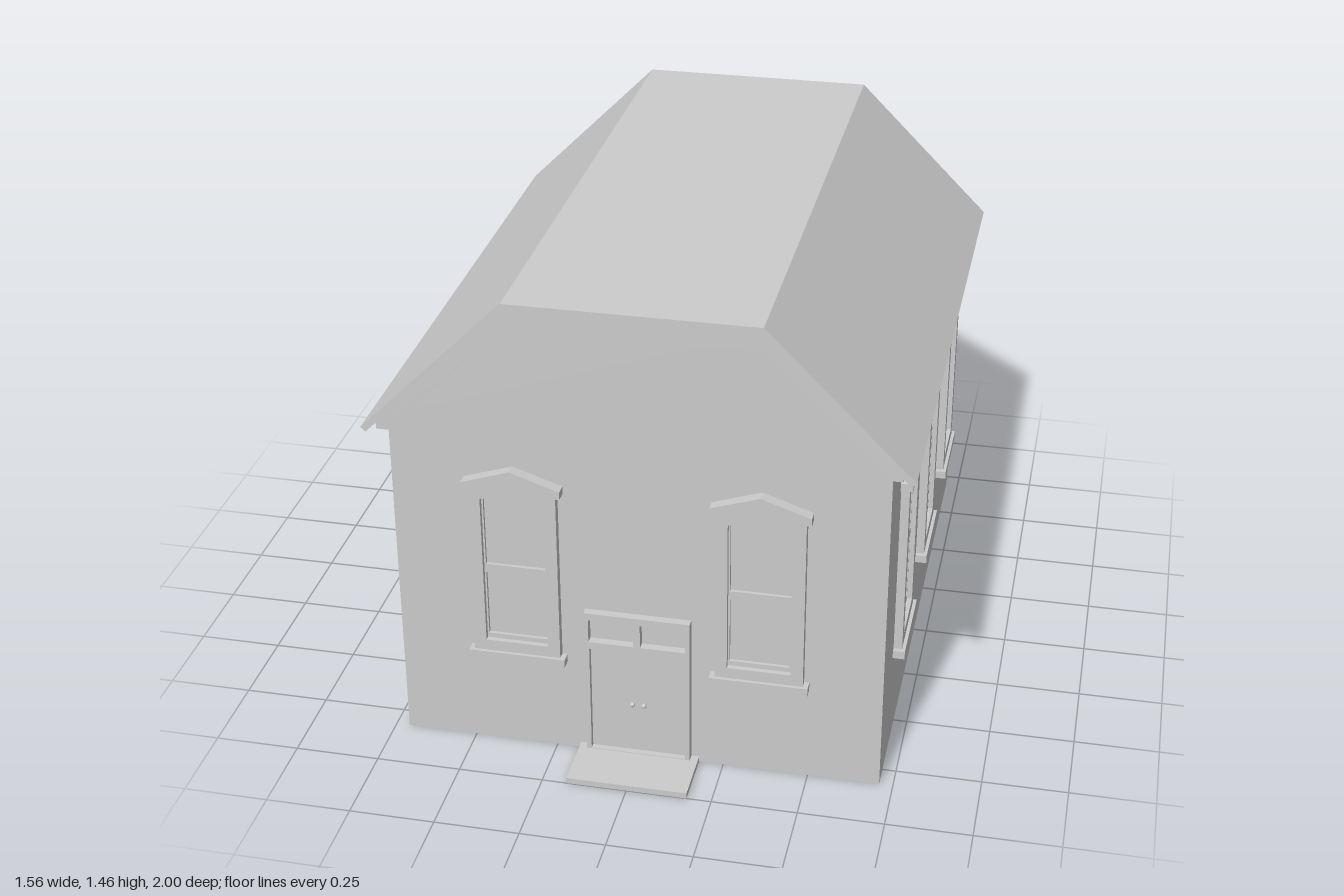
import * as THREE from 'three';

const material = new THREE.MeshStandardMaterial({ color: 0xcccccc, side: THREE.DoubleSide, flatShading: true });
const HALF_W = 0.71, FRONT = 0.82, BACK = -0.96, MID_Z = (FRONT + BACK) / 2;

function add(parent, name, geometry, x = 0, y = 0, z = 0) {
  const mesh = new THREE.Mesh(geometry, material);
  mesh.name = name;
  mesh.position.set(x, y, z);
  parent.add(mesh);
  return mesh;
}

const box = (w, h, d) => new THREE.BoxGeometry(w, h, d);
const points = (list) => list.map(([x, y]) => new THREE.Vector2(x, y));

// Outline plus optional holes, extruded from z0 to z1
function extrude(outline, holes, z0, z1) {
  const shape = new THREE.Shape(points(outline));
  for (const hole of holes) shape.holes.push(new THREE.Path(points(hole)));
  return new THREE.ExtrudeGeometry(shape, { depth: z1 - z0, bevelEnabled: false }).translate(0, 0, z0);
}

const rect = (x0, x1, y0, y1) => [[x0, y0], [x1, y0], [x1, y1], [x0, y1]];
// Upright panel with a low pointed head
const pointed = (half, bottom, shoulder, apex) =>
  [[-half, bottom], [half, bottom], [half, shoulder], [0, apex], [-half, shoulder]];
// Closes a right-hand profile by mirroring it across x = 0
const mirrored = (right) => [...right, ...right.map(([x, y]) => [-x, y]).reverse()];
// Band lying between two right-hand profiles, each running from eave to ridge
const band = (outer, inner) => [
  ...outer, ...outer.map(([x, y]) => [-x, y]).reverse(),
  ...inner.map(([x, y]) => [-x, y]), ...[...inner].reverse(),
];

// Window set through the wall: it shows alike inside and outside
function createWindow() {
  const group = new THREE.Group();
  group.name = 'window';
  const opening = pointed(0.092, 0.36, 0.832, 0.88);
  add(group, 'windowTrim', extrude(pointed(0.128, 0.325, 0.86, 0.91), [opening], -0.025, 0.025));
  add(group, 'windowSash', extrude(opening, [
    rect(-0.087, 0.087, 0.375, 0.583),
    pointed(0.087, 0.61, 0.824, 0.867),
  ], -0.01, 0.01));
  add(group, 'windowHood', extrude([
    [0.143, 0.863], [0.143, 0.887], [0, 0.935], [-0.143, 0.887], [-0.143, 0.863],
    [-0.122, 0.863], [0, 0.907], [0.122, 0.863],
  ], [], -0.035, 0.035));
  add(group, 'windowSill', box(0.286, 0.025, 0.07), 0, 0.313, 0);
  return group;
}

function createDoor() {
  const group = new THREE.Group();
  group.name = 'door';
  add(group, 'doorFrame', extrude(rect(-0.155, 0.155, 0, 0.49), [
    rect(-0.14, 0.14, 0.02, 0.37),
    rect(-0.142, -0.01, 0.393, 0.467),
    rect(0.01, 0.142, 0.393, 0.467),
  ], -0.025, 0.025));
  add(group, 'doorLeaves', box(0.28, 0.35, 0.014), 0, 0.195, 0);
  for (const x of [-0.017, 0.017]) for (const side of [-1, 1]) {
    add(group, 'doorKnob', new THREE.SphereGeometry(0.008, 10, 8), x, 0.185, side * 0.015);
  }
  return group;
}

export function createModel() {
  const model = new THREE.Group();
  model.name = 'house';

  // Thin walls, open underneath
  const gable = new THREE.Shape(points(mirrored([[HALF_W, 0], [HALF_W, 1.06], [0.353, 1.42]])));
  add(model, 'frontWall', new THREE.ShapeGeometry(gable), 0, 0, FRONT);
  add(model, 'backWall', new THREE.ShapeGeometry(gable).rotateY(Math.PI), 0, 0, BACK);
  for (const side of [-1, 1]) {
    add(model, 'sideWall', new THREE.PlaneGeometry(FRONT - BACK, 1.06).rotateY(side * Math.PI / 2),
      side * HALF_W, 0.53, MID_Z);
  }

  // Roof slab and the frieze tucked beneath it
  const roofTop = [[0.778, 1.035], [0.358, 1.455]];
  const roofUnder = [[0.764, 1.021], [0.35, 1.435]];
  add(model, 'roof', extrude(band(roofTop, roofUnder), [], -0.995, 0.86));
  add(model, 'frieze', extrude(
    band([[0.74, 1.022], [0.74, 1.045], [0.35, 1.435]], [[0.705, 1.022], [0.353, 1.375]]),
    [], BACK - 0.018, FRONT + 0.018));

  // Two windows on each gable, three on each long side
  const place = (x, z, turn) => {
    const win = createWindow();
    win.position.set(x, 0, z);
    win.rotation.y = turn;
    model.add(win);
  };
  for (const side of [-1, 1]) {
    place(side * 0.355, FRONT, 0);
    place(side * 0.355, BACK, Math.PI);
    for (const z of [0.47, -0.067, -0.603]) place(side * HALF_W, z, side * Math.PI / 2);
  }

  // Entrance
  const door = createDoor();
  door.position.z = FRONT;
  model.add(door);
  add(model, 'doorStep', box(0.356, 0.018, 0.18), 0, 0.009, 0.91);

  return model;
}
